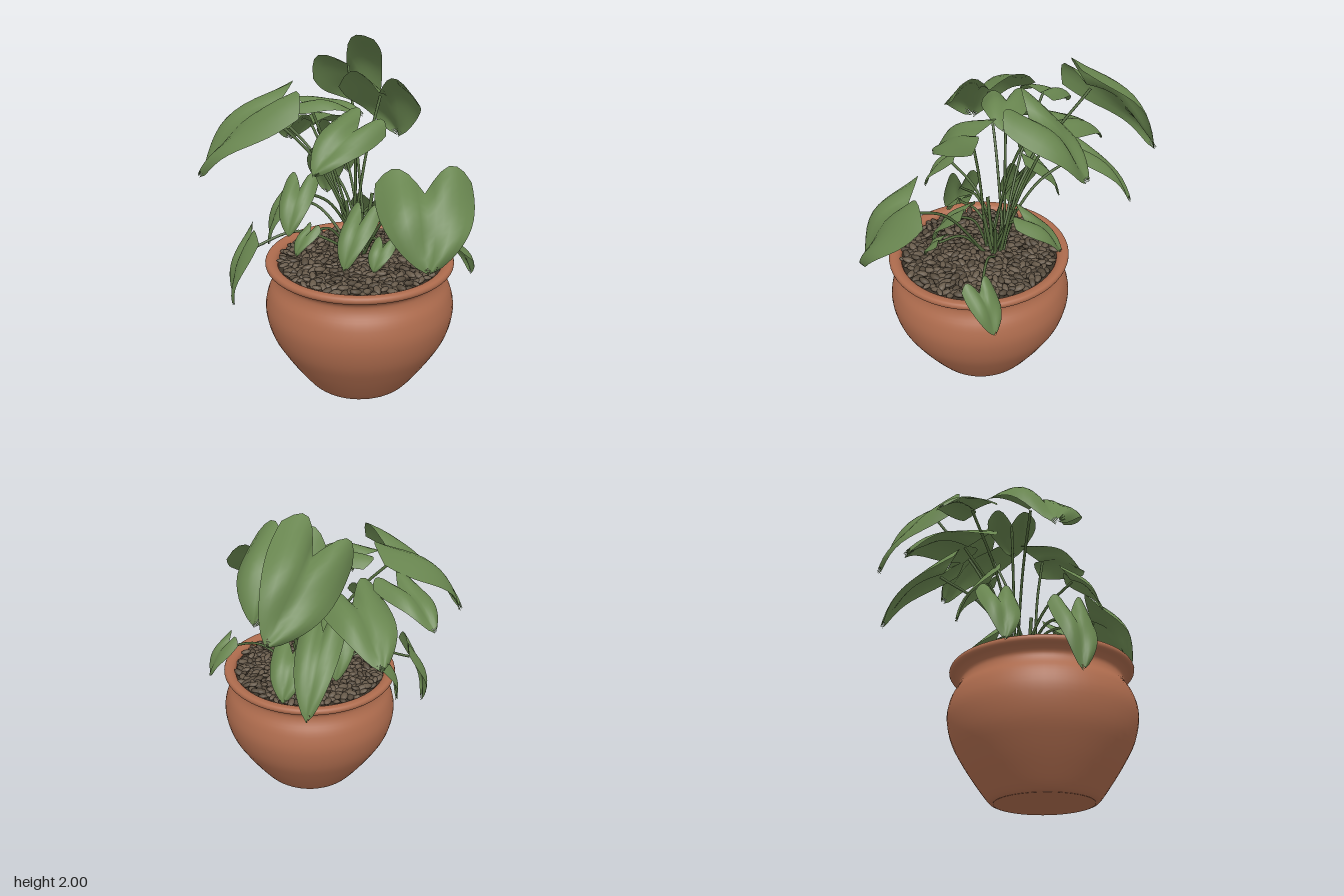
import * as THREE from 'three';
import { mergeGeometries } from 'three/addons/utils/BufferGeometryUtils.js';

const V = (a) => new THREE.Vector3(...a);
const UP = new THREE.Vector3(0, 1, 0);
const mat = (name, color, side = THREE.FrontSide) => {
  const m = new THREE.MeshStandardMaterial({ color, side });
  m.name = name;
  return m;
};
const CX = 0.11, CZ = 0.22; // pot axis

// Heart-shaped blade from the stalk joint to the tip: level across, then rolled about its midrib
function leafGeometry(base, tip, width, roll) {
  const along = tip.clone().sub(base), len = along.length();
  along.normalize();
  const across = UP.clone().cross(along).normalize().applyAxisAngle(along, roll);
  const normal = along.clone().cross(across);
  const rows = 12, cols = 12, pos = [], index = [];
  for (let i = 0; i <= rows; i++) {
    const v = i / rows;
    const half = 0.56 * width * Math.pow(1 - v, 0.82) * (0.85 + 0.95 * v);
    for (let j = 0; j <= cols; j++) {
      const s = (j / cols) * 2 - 1, a = Math.abs(s);
      const y = len * (v - 0.32 * Math.sin(2.6 * a) * (1 - v) ** 2);
      const lift = len * 0.13 * Math.sin(Math.PI * v) + half * (0.22 * Math.sin(2.2 * a) - 0.32 * a * a)
        + 0.03 * width * Math.sin(7 * v + 3 * s);
      const p = base.clone().addScaledVector(along, y).addScaledVector(across, s * half).addScaledVector(normal, lift);
      pos.push(p.x, p.y, p.z);
      if (i < rows && j < cols) {
        const k = i * (cols + 1) + j, n = k + cols + 1;
        index.push(k, n, k + 1);
        if (i < rows - 1) index.push(k + 1, n, n + 1);
      }
    }
  }
  const g = new THREE.BufferGeometry();
  g.setAttribute('position', new THREE.Float32BufferAttribute(pos, 3));
  g.setIndex(index);
  g.computeVertexNormals();
  return g;
}

// Leaf list: name, stalk joint, tip, width, optional roll
const LEAVES = [
  ['tallBackLeaf', [-0.2, 1.81, -0.35], [-0.16, 1.47, -0.77], 0.46, -0.77],
  ['upperRightLeaf', [0.11, 1.7, -0.09], [0.12, 1.36, -0.43], 0.47],
  ['bigFrontLeftLeaf', [-0.39, 1.63, 0.27], [-0.77, 1.26, 0.5], 0.56, -0.1],
  ['frontRightLeaf', [0.57, 1.33, 0.48], [0.68, 1.0, 0.73], 0.53],
  ['backLeftLeaf', [-0.33, 1.47, -0.12], [-0.64, 1.27, -0.4], 0.4],
  ['sideLeftLeaf', [-0.55, 1.57, -0.02], [-0.82, 1.42, -0.14], 0.27],
  ['middleLeaf', [0.1, 1.56, 0.23], [-0.04, 1.36, 0.53], 0.31, -0.4],
  ['middleLeftLeaf', [-0.25, 1.64, 0.13], [0.07, 1.6, 0.06], 0.3],
  ['lowBackLeaf', [-0.24, 1.36, -0.3], [-0.32, 1.0, -0.65], 0.26],
  ['backRimLeaf', [0.08, 1.02, -0.06], [0.03, 0.8, -0.28], 0.26],
  ['innerLeftLeaf', [-0.2, 1.28, -0.02], [-0.28, 1.0, -0.2], 0.24],
  ['leftRimLeaf', [-0.4, 1.06, 0.08], [-0.52, 0.74, 0.16], 0.25],
  ['hangingLeftLeaf', [-0.46, 0.88, 0.5], [-0.55, 0.51, 0.57], 0.25],
  ['rightRimLeaf', [0.63, 0.88, 0.07], [0.72, 0.67, -0.04], 0.2],
  ['frontLowLeaf', [0.16, 1.06, 0.31], [0.13, 0.82, 0.51], 0.21],
  ['frontHeartLeaf', [-0.15, 1.26, 0.46], [-0.14, 1.04, 0.64], 0.2],
  ['smallRightLeaf', [0.32, 0.96, 0.4], [0.3, 0.84, 0.5], 0.15],
  ['smallLeftLeaf', [-0.12, 0.98, 0.4], [-0.17, 0.86, 0.5], 0.14],
];

export function createModel() {
  const root = new THREE.Group();
  root.name = 'pottedPlant';
  const clay = mat('terracotta', 0xad6b4d);
  const leafMat = mat('leafGreen', 0x68854f, THREE.DoubleSide);
  const stemMat = mat('stemGreen', 0x51693c);
  const stones = [mat('pebbleBrown', 0x675a4a), mat('pebbleDark', 0x554a3c)];
  const soilMat = mat('soil', 0x3a3228);
  const add = (parent, name, geometry, material) => {
    const m = new THREE.Mesh(geometry, material);
    m.name = name;
    parent.add(m);
    return m;
  };

  // Pot: rounded belly, pinched neck, rolled rim and inner wall
  const profile = new THREE.SplineCurve([[0.285, 0.001], [0.315, 0.015], [0.38, 0.1], [0.46, 0.22], [0.53, 0.35],
    [0.56, 0.49], [0.54, 0.6], [0.5, 0.67], [0.49, 0.715], [0.515, 0.745], [0.545, 0.76], [0.553, 0.78],
    [0.54, 0.798], [0.505, 0.795], [0.48, 0.77], [0.475, 0.7]].map((p) => new THREE.Vector2(...p))).getPoints(56);
  add(root, 'pot', new THREE.LatheGeometry(profile, 56), clay).position.set(CX, 0, CZ);
  add(root, 'potBase', new THREE.CylinderGeometry(0.288, 0.288, 0.01, 56), clay).position.set(CX, 0.005, CZ);
  add(root, 'soil', new THREE.CylinderGeometry(0.478, 0.478, 0.03, 48), soilMat).position.set(CX, 0.745, CZ);

  // Pebbles spread in a sunflower pattern
  let seed = 7;
  const rnd = () => (seed = (seed * 16807) % 2147483647) / 2147483647;
  const piles = [[], []], count = 520;
  for (let i = 0; i < count; i++) {
    const r = 0.465 * Math.sqrt((i + 0.5) / count), a = i * 2.39996;
    const g = new THREE.IcosahedronGeometry(1, 1);
    const size = 0.8 + 0.4 * rnd();
    g.scale(0.034 * size, 0.014 * size, 0.019 * size);
    g.rotateZ((rnd() - 0.5) * 0.9);
    g.rotateY(rnd() * 6.28);
    g.translate(CX + r * Math.cos(a), 0.768 + 0.022 * rnd(), CZ + r * Math.sin(a));
    piles[rnd() < 0.6 ? 0 : 1].push(g);
  }
  piles.forEach((p, i) => add(root, i ? 'darkPebbles' : 'brownPebbles', mergeGeometries(p), stones[i]));

  // Leaves, each on an arching stalk from the crown
  LEAVES.forEach(([name, b, t, width, roll = 0], i) => {
    const group = new THREE.Group();
    group.name = name;
    const base = V(b), tip = V(t);
    add(group, 'blade', leafGeometry(base, tip, width, roll), leafMat);
    const foot = new THREE.Vector3(0.07 + 0.05 * Math.cos(i * 2.4), 0.76, 0.13 + 0.06 * Math.sin(i * 2.4));
    const mid = foot.clone().lerp(base, 0.55);
    mid.y += 0.06 + 0.08 * Math.hypot(base.x - foot.x, base.z - foot.z);
    const path = new THREE.CatmullRomCurve3([foot, mid, base.clone().lerp(tip, 0.06)]);
    add(group, 'stalk', new THREE.TubeGeometry(path, 18, 0.0085, 7), stemMat);
    root.add(group);
  });

  // Short bare shoots at the crown
  for (let i = 0; i < 6; i++) {
    const a = i * 1.05;
    const foot = new THREE.Vector3(0.07 + 0.03 * Math.cos(a), 0.76, 0.12 + 0.03 * Math.sin(a));
    const top = new THREE.Vector3(0.06 + 0.1 * Math.cos(a), 1.0 + 0.06 * (i % 3), 0.1 + 0.1 * Math.sin(a));
    add(root, 'shoot', new THREE.TubeGeometry(new THREE.LineCurve3(foot, top), 2, 0.011, 7), stemMat);
  }
  return root;
}
